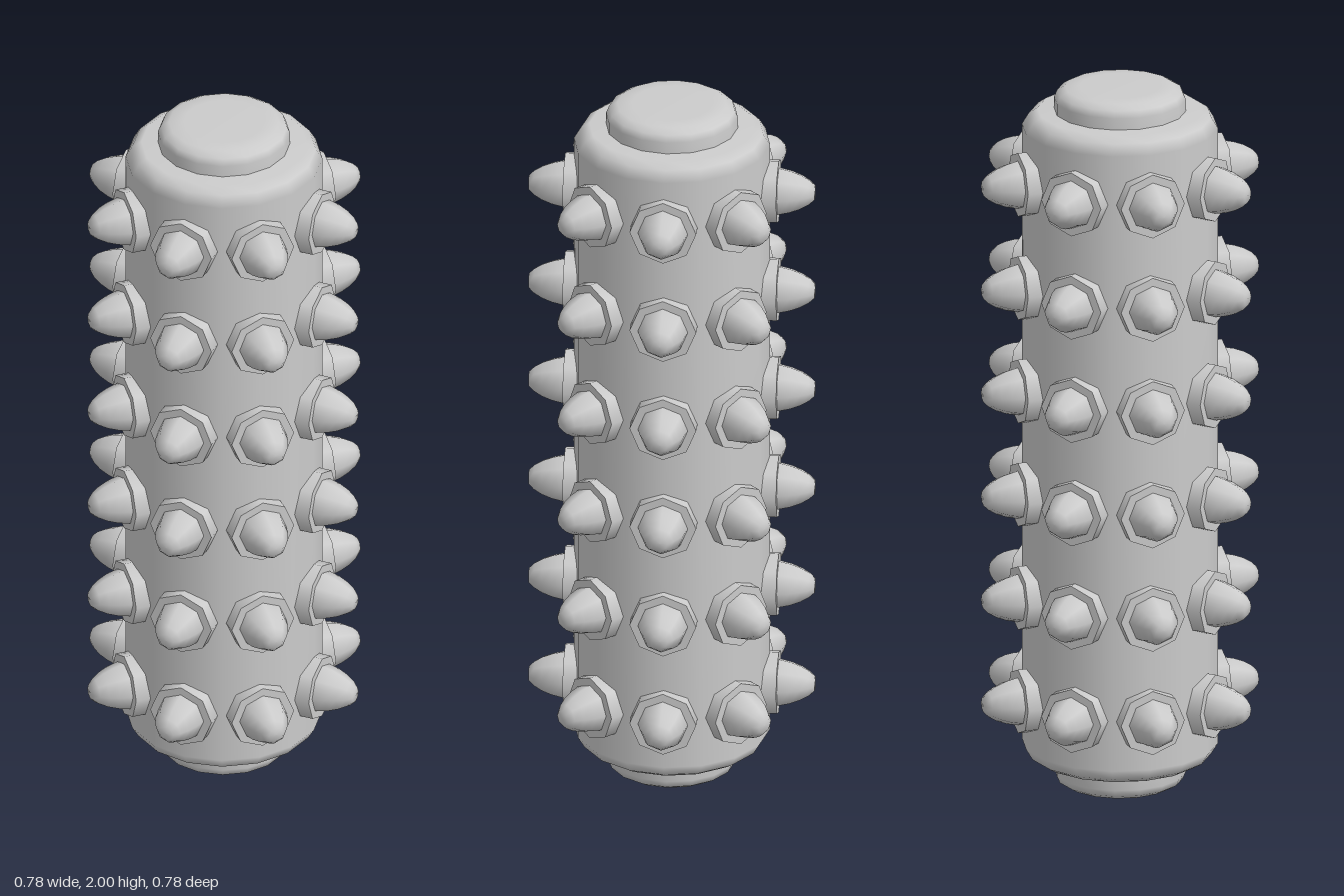
import * as THREE from 'three';

const material = new THREE.MeshStandardMaterial({ color: 0xcccccc });

// Turned part from [radius, height] pairs listed bottom to top
function turned(name, profile, sides) {
  const points = profile.map(([r, y]) => new THREE.Vector2(r, y));
  const mesh = new THREE.Mesh(new THREE.LatheGeometry(points, sides), material);
  mesh.name = name;
  return mesh;
}

// Round-nosed stud with its octagonal collar, pointing along +z
function createStud() {
  const stud = new THREE.Group();
  stud.name = 'stud';
  const collar = new THREE.Mesh(new THREE.CylinderGeometry(0.091, 0.091, 0.07, 8), material);
  collar.name = 'studCollar';
  collar.position.z = 0.257;
  collar.rotation.x = Math.PI / 2;
  const spike = turned('studSpike', [
    [0.068, 0.26], [0.068, 0.295], [0.061, 0.325], [0.05, 0.353],
    [0.036, 0.376], [0.021, 0.391], [0, 0.392],
  ], 8);
  spike.rotation.x = Math.PI / 2;
  stud.add(collar, spike);
  return stud;
}

export function createModel() {
  const model = new THREE.Group();
  model.name = 'studdedRoller';

  // Main drum with rounded shoulders
  model.add(turned('drum', [
    [0, 0.073], [0.225, 0.075], [0.25, 0.09], [0.268, 0.12],
    [0.268, 1.885], [0.25, 1.915], [0.225, 1.932], [0, 1.934],
  ], 16));

  // Raised end caps, mirrored top and bottom
  const capProfile = [[0.18, 0.9], [0.18, 0.965], [0.172, 0.984], [0.15, 0.997], [0.11, 1], [0, 1]];
  const topCap = turned('topCap', capProfile, 16);
  topCap.position.y = 1;
  const bottomCap = turned('bottomCap', capProfile, 16);
  bottomCap.position.y = 1;
  bottomCap.rotation.x = Math.PI;
  model.add(topCap, bottomCap);

  // Six rings of eight studs
  for (let row = 0; row < 6; row++) {
    const ring = new THREE.Group();
    ring.name = 'studRing';
    ring.position.y = 0.262 + row * 0.2967;
    for (let i = 0; i < 8; i++) {
      const stud = createStud();
      stud.rotation.y = i * Math.PI / 4;
      ring.add(stud);
    }
    model.add(ring);
  }
  return model;
}
